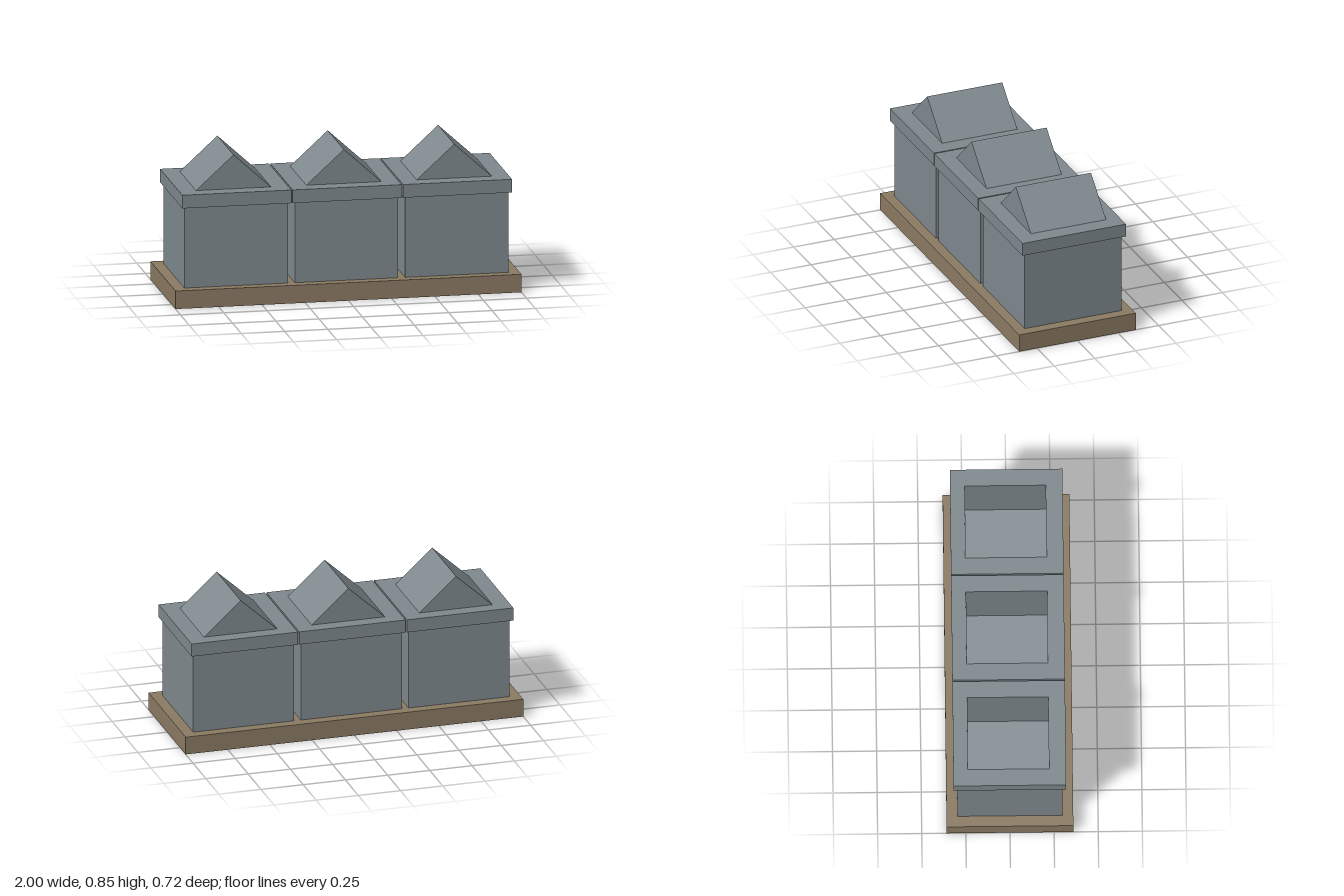
import * as THREE from 'three';

const stone = new THREE.MeshStandardMaterial({ name: 'slate grey', color: 0x7f898e });
const earth = new THREE.MeshStandardMaterial({ name: 'earth brown', color: 0x8b7a63 });

// Box given by its width, its bottom and top, and its back and front
function block(name, material, width, y0, y1, z0, z1) {
  const mesh = new THREE.Mesh(new THREE.BoxGeometry(width, y1 - y0, z1 - z0), material);
  mesh.name = name;
  mesh.position.set(0, (y0 + y1) / 2, (z0 + z1) / 2);
  return mesh;
}

// Triangular ridge running front to back
function gable(halfWidth, y0, y1, z0, z1) {
  const shape = new THREE.Shape();
  shape.moveTo(-halfWidth, 0);
  shape.lineTo(halfWidth, 0);
  shape.lineTo(0, y1 - y0);
  shape.closePath();
  const geometry = new THREE.ExtrudeGeometry(shape, { depth: z1 - z0, bevelEnabled: false });
  const mesh = new THREE.Mesh(geometry, stone);
  mesh.name = 'gable';
  mesh.position.set(0, y0, z0);
  return mesh;
}

export function createModel() {
  const model = new THREE.Group();
  model.name = 'threeChests';
  model.add(block('base', earth, 2, 0, 0.105, -0.359, 0.359));

  // Three identical chests side by side
  ['rightChest', 'middleChest', 'leftChest'].forEach((name, i) => {
    const chest = new THREE.Group();
    chest.name = name;
    chest.position.x = (i - 1) * 0.638;
    chest.add(
      block('body', stone, 0.598, 0.105, 0.575, -0.297, 0.299),
      block('lid', stone, 0.63, 0.575, 0.652, -0.319, 0.319),
      gable(0.217, 0.652, 0.85, -0.238, 0.225),
    );
    model.add(chest);
  });
  return model;
}
